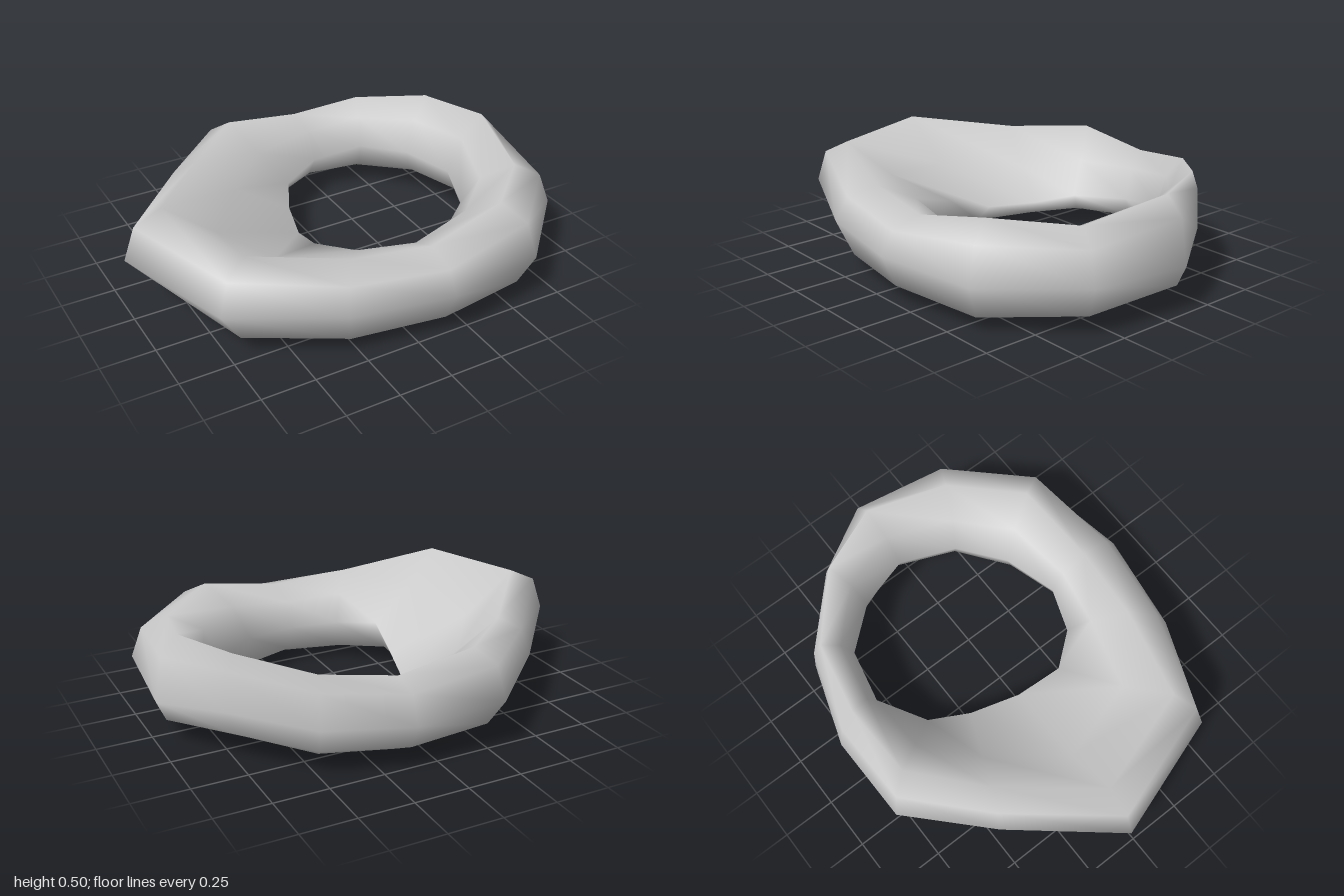
import * as THREE from 'three';

// One row per cross-section around the ring:
// outer x, z, y | inner x, z, y | crest fraction, y | base fraction, y | inner-top bulge
const SECTIONS = [
  [-0.29, -0.81, 0.24, -0.01, -0.43, 0.19, 0.32, 0.46, 0.55, 0.07, 0.50],
  [0.13, -0.815, 0.22, 0.21, -0.56, 0.20, 0.45, 0.41, 0.50, 0.07, 0.68],
  [0.51, -0.69, 0.23, 0.45, -0.51, 0.24, 0.30, 0.455, 0.50, 0.08, 0.64],
  [0.79, -0.41, 0.25, 0.61, -0.32, 0.25, 0.18, 0.505, 0.50, 0.10, 0.60],
  [1.0, -0.10, 0.21, 0.69, -0.07, 0.24, 0.36, 0.50, 0.45, 0.08, 0.62],
  [0.96, 0.38, 0.23, 0.59, 0.19, 0.23, 0.42, 0.43, 0.55, 0.03, 0.66],
  [0.62, 0.73, 0.22, 0.39, 0.35, 0.22, 0.42, 0.45, 0.60, 0.00, 0.62],
  [0.14, 0.81, 0.23, 0.14, 0.43, 0.20, 0.52, 0.37, 0.60, 0.02, 0.68],
  [-0.33, 0.735, 0.24, -0.07, 0.35, 0.22, 0.42, 0.40, 0.55, 0.01, 0.62],
  [-0.81, 0.53, 0.28, -0.20, 0.19, 0.25, 0.24, 0.485, 0.60, 0.03, 0.42],
  [-1.0, -0.05, 0.28, -0.17, -0.02, 0.18, 0.22, 0.495, 0.62, 0.05, 0.38],
  [-0.63, -0.49, 0.26, -0.10, -0.25, 0.17, 0.26, 0.445, 0.58, 0.065, 0.42],
];
const SIDES = 8;

// Eight-sided profile as [fraction from outer to inner edge, height]
function profile([, , oy, , , iy, tf, ty, bf, by, bulge]) {
  const r = 0.707;
  return [
    [0, oy],
    [tf * (1 - r), oy + (ty - oy) * r],
    [tf, ty],
    [tf + (1 - tf) * bulge, iy + (ty - iy) * bulge],
    [1, iy],
    [bf + (1 - bf) * r, iy + (by - iy) * r],
    [bf, by],
    [bf * (1 - r), oy + (by - oy) * r],
  ];
}

export function createModel() {
  const positions = [];
  const index = [];
  const n = SECTIONS.length;

  // Place every profile between its outer and inner edge, then join neighbours
  SECTIONS.forEach((s, i) => {
    for (const [f, y] of profile(s)) {
      positions.push(s[0] + (s[3] - s[0]) * f, y, s[1] + (s[4] - s[1]) * f);
    }
    for (let j = 0; j < SIDES; j++) {
      const k = (j + 1) % SIDES;
      const next = ((i + 1) % n) * SIDES;
      const a = i * SIDES + j, b = i * SIDES + k;
      const c = next + k, d = next + j;
      index.push(a, b, c, a, c, d);
    }
  });

  const geometry = new THREE.BufferGeometry();
  geometry.setAttribute('position', new THREE.Float32BufferAttribute(positions, 3));
  geometry.setIndex(index);
  geometry.computeVertexNormals();

  const ring = new THREE.Mesh(geometry, new THREE.MeshStandardMaterial({ color: 0xcccccc }));
  ring.name = 'ring';
  const group = new THREE.Group();
  group.name = 'unevenRing';
  group.add(ring);
  return group;
}
